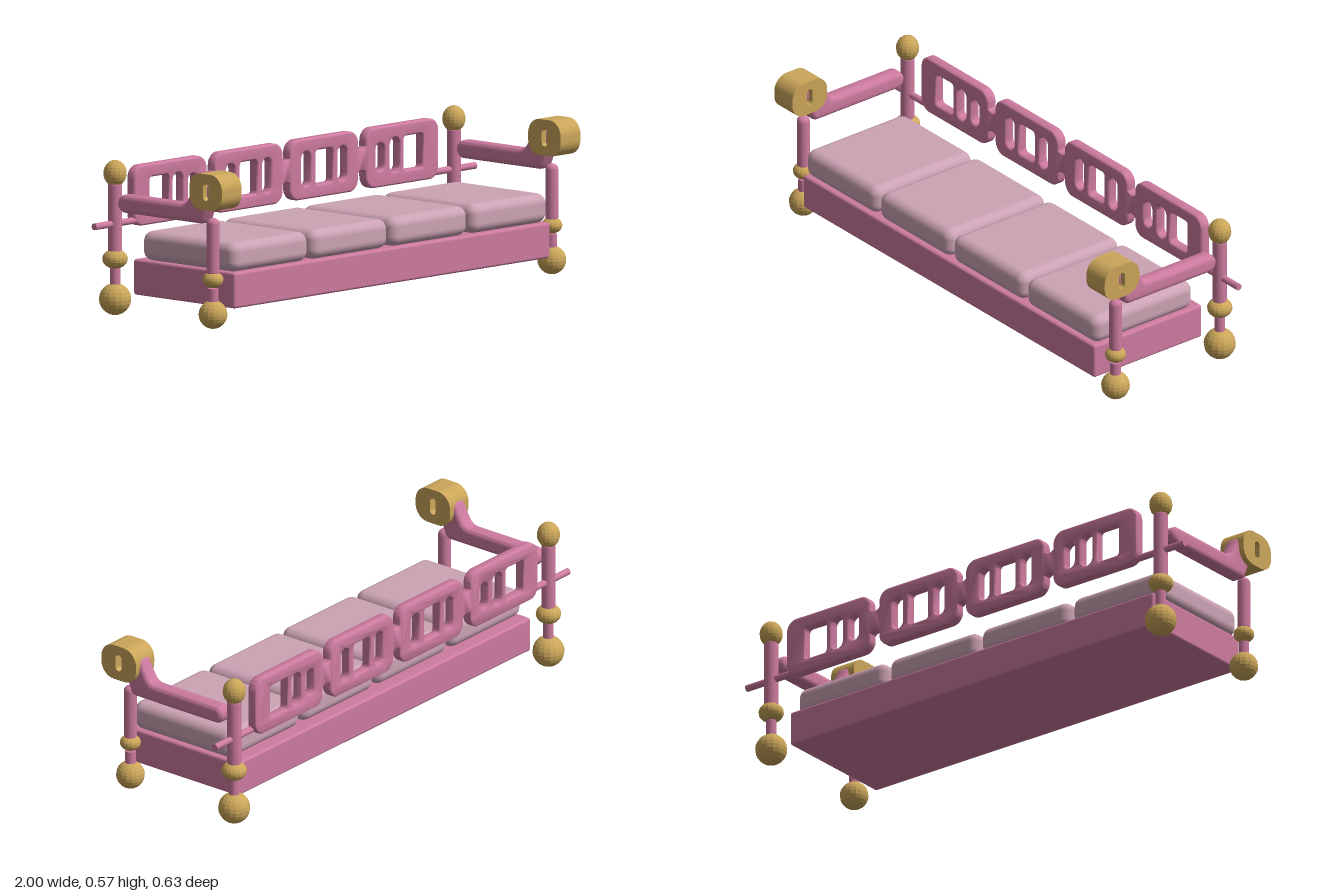
import * as THREE from 'three';
import { toCreasedNormals } from 'three/addons/utils/BufferGeometryUtils.js';
import { RoundedBoxGeometry } from 'three/addons/geometries/RoundedBoxGeometry.js';

const mat = (name, color, flatShading = false) => {
  const m = new THREE.MeshStandardMaterial({ color, flatShading });
  m.name = name;
  return m;
};

// Rounded rectangle outline, usable as shape or hole
function roundRect(path, x0, y0, x1, y1, r) {
  path.moveTo(x0 + r, y0);
  path.lineTo(x1 - r, y0);
  path.absarc(x1 - r, y0 + r, r, -Math.PI / 2, 0);
  path.lineTo(x1, y1 - r);
  path.absarc(x1 - r, y1 - r, r, 0, Math.PI / 2);
  path.lineTo(x0 + r, y1);
  path.absarc(x0 + r, y1 - r, r, Math.PI / 2, Math.PI);
  path.lineTo(x0, y0 + r);
  path.absarc(x0 + r, y0 + r, r, Math.PI, Math.PI * 1.5);
  return path;
}

// Centred extrusion whose bevel stays inside the drawn outline
function slab(shape, depth, bevel, curveSegments = 8) {
  const g = new THREE.ExtrudeGeometry(shape, {
    depth: depth - 2 * bevel, bevelEnabled: bevel > 0, bevelThickness: bevel,
    bevelSize: bevel, bevelOffset: -bevel, bevelSegments: 4, curveSegments,
  });
  g.translate(0, 0, -depth / 2 + bevel);
  return toCreasedNormals(g, 0.6);
}

// Upright post with softened ends
function postGeometry(r, y0, y1, round) {
  const pts = [new THREE.Vector2(0, y0)];
  for (let i = 0; i <= 4; i++) {
    const a = (i / 4) * Math.PI / 2;
    pts.push(new THREE.Vector2(r - round + round * Math.sin(a), y0 + round - round * Math.cos(a)));
  }
  for (let i = 0; i <= 4; i++) {
    const a = (i / 4) * Math.PI / 2;
    pts.push(new THREE.Vector2(r - round + round * Math.cos(a), y1 - round + round * Math.sin(a)));
  }
  pts.push(new THREE.Vector2(0, y1));
  return new THREE.LatheGeometry(pts, 20);
}

export function createModel() {
  const rose = mat('rose frame', 0xcd7b9f);
  const blush = mat('blush cushion', 0xcca3b4);
  const gold = mat('gold', 0xcba65a, true);
  const model = new THREE.Group();
  model.name = 'sofa';

  const add = (name, geometry, material, x = 0, y = 0, z = 0, parent = model) => {
    const m = new THREE.Mesh(geometry, material);
    m.name = name;
    m.position.set(x, y, z);
    parent.add(m);
    return m;
  };

  // Seat base and four cushions
  add('seatBase', new RoundedBoxGeometry(1.66, 0.13, 0.5, 3, 0.01), rose, 0, 0.135, 0.025);
  for (let i = 0; i < 4; i++) {
    add('cushion', new RoundedBoxGeometry(0.405, 0.107, 0.46, 5, 0.036), blush,
      -0.628 + i * 0.4185, 0.252, 0.04);
  }

  // Pierced back panels: [left, right, holes as x0, x1, y0, y1, radius]
  const outer = [-0.8, -0.418, [
    [-0.717, -0.618, 0.358, 0.482, 0.012],
    [-0.595, -0.545, 0.358, 0.482, 0.024],
    [-0.515, -0.47, 0.37, 0.47, 0.022]]];
  const inner = [-0.378, -0.018, [
    [-0.317, -0.27, 0.358, 0.482, 0.023],
    [-0.243, -0.155, 0.358, 0.482, 0.012],
    [-0.126, -0.08, 0.358, 0.482, 0.022]]];
  const back = new THREE.Group();
  back.name = 'backrest';
  back.position.z = -0.265;
  model.add(back);
  for (const s of [-1, 1]) {
    for (const [x0, x1, holes] of [outer, inner]) {
      const span = (a, b) => (s < 0 ? [a, b] : [-b, -a]);
      const [l, r] = span(x0, x1);
      const shape = roundRect(new THREE.Shape(), l, 0.31, r, 0.53, 0.045);
      for (const [a, b, y0, y1, rad] of holes) {
        const [hl, hr] = span(a, b);
        shape.holes.push(roundRect(new THREE.Path(), hl, y0, hr, y1, rad));
      }
      add('backPanel', slab(shape, 0.04, 0.008), rose, 0, 0, 0, back);
    }
  }

  // Waisted links between the panels
  for (const x of [-0.398, 0, 0.398]) {
    const link = new THREE.Shape();
    link.moveTo(-0.035, -0.065);
    link.quadraticCurveTo(-0.018, -0.038, 0, -0.038);
    link.quadraticCurveTo(0.018, -0.038, 0.035, -0.065);
    link.lineTo(0.035, 0.065);
    link.quadraticCurveTo(0.018, 0.038, 0, 0.038);
    link.quadraticCurveTo(-0.018, 0.038, -0.035, 0.065);
    link.closePath();
    add('backLink', slab(link, 0.038, 0.006), rose, x, 0.42, 0, back);
  }

  // Armrest side profile, drawn in z and y
  const arm = new THREE.Shape();
  arm.moveTo(-0.19, 0.379);
  arm.lineTo(0.178, 0.379);
  arm.quadraticCurveTo(0.198, 0.38, 0.205, 0.398);
  arm.lineTo(0.235, 0.475);
  arm.quadraticCurveTo(0.25, 0.535, 0.205, 0.537);
  arm.lineTo(0.172, 0.537);
  arm.quadraticCurveTo(0.158, 0.532, 0.15, 0.513);
  arm.lineTo(0.125, 0.468);
  arm.quadraticCurveTo(0.112, 0.445, 0.088, 0.445);
  arm.lineTo(-0.19, 0.445);
  arm.absarc(-0.19, 0.412, 0.033, Math.PI / 2, Math.PI * 1.5);
  const armGeometry = slab(arm, 0.062, 0.018).rotateY(-Math.PI / 2);

  // Pierced scroll block at the front of each arm
  const scroll = roundRect(new THREE.Shape(), 0.157, 0.436, 0.317, 0.568, 0.056);
  scroll.holes.push(roundRect(new THREE.Path(), 0.224, 0.471, 0.251, 0.535, 0.0134));
  const scrollGeometry = slab(scroll, 0.104, 0, 6).rotateY(-Math.PI / 2);

  const ball = (name, r, ry, x, y, z) =>
    add(name, new THREE.SphereGeometry(r, 16, 12), gold, x, y, z).scale.y = ry / r;

  for (const s of [-1, 1]) {
    const x = s * 0.89;
    add('armrest', armGeometry, rose, x);
    add('armScroll', scrollGeometry, gold, x);

    // Front post
    ball('frontFoot', 0.052, 0.052, x, 0.052, 0.225);
    add('frontStem', new THREE.CylinderGeometry(0.0195, 0.0195, 0.085, 20), rose, x, 0.1035, 0.225);
    ball('frontCollar', 0.038, 0.03, x, 0.178, 0.225);
    add('frontPost', postGeometry(0.0235, 0.185, 0.402, 0.021), rose, x, 0, 0.225);

    // Rear post with finial
    ball('rearFoot', 0.058, 0.058, x, 0.058, -0.257);
    add('rearStem', new THREE.CylinderGeometry(0.019, 0.019, 0.1, 20), rose, x, 0.145, -0.257);
    ball('rearCollar', 0.046, 0.036, x, 0.204, -0.257);
    add('rearPost', postGeometry(0.0255, 0.225, 0.482, 0.01), rose, x, 0, -0.257);
    ball('rearFinial', 0.042, 0.048, x, 0.515, -0.257);

    // Rod through the rear post into the backrest
    add('backRod', new THREE.CylinderGeometry(0.0125, 0.0125, 0.23, 16), rose,
      s * 0.885, 0.332, -0.257).rotation.z = Math.PI / 2;
  }
  return model;
}
